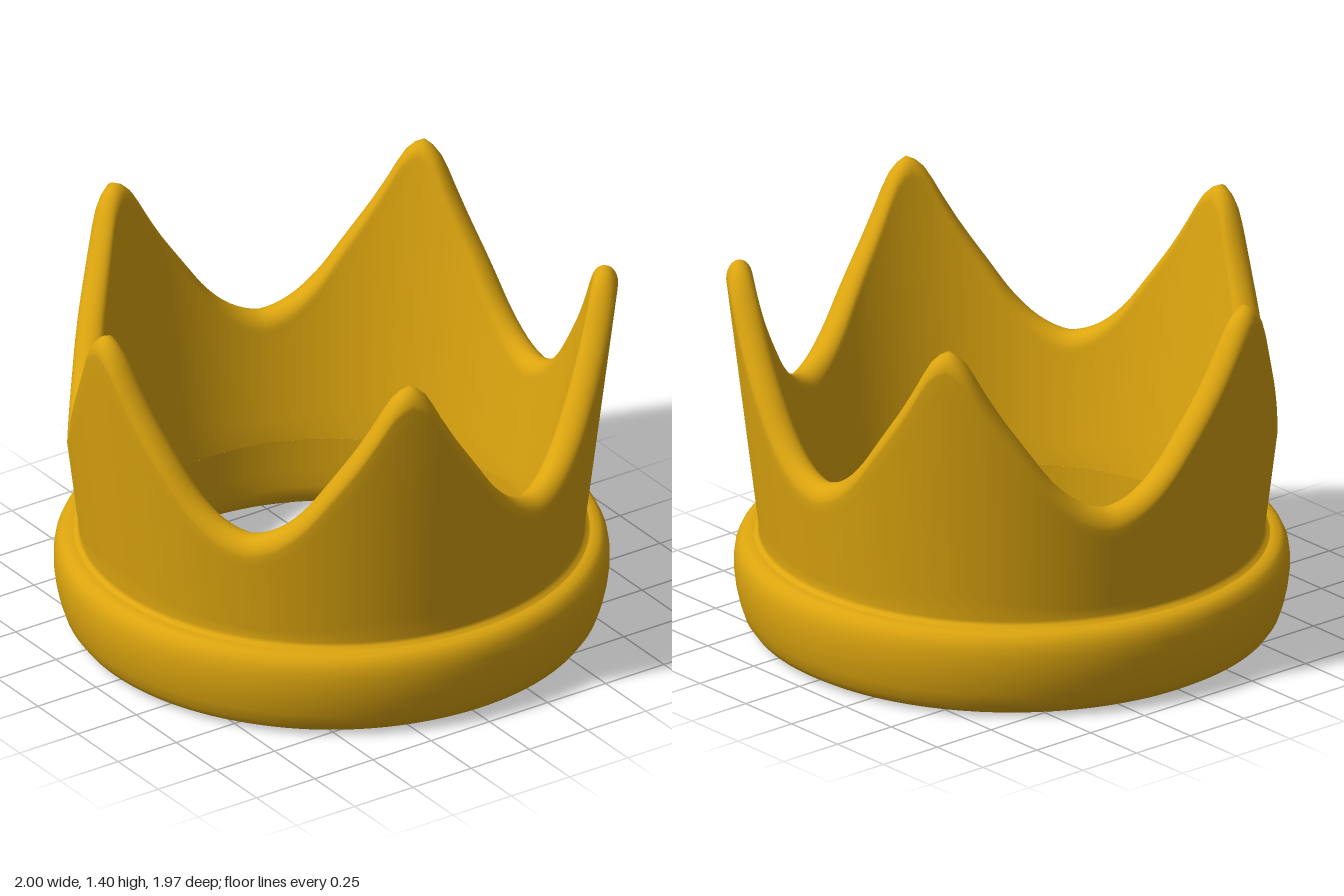
import * as THREE from 'three';

const POINTS = 5;
const INNER = 0.757;
const CENTRE_X = 0.012;

// Rim height from a tip (t = 0) to the middle of a dip (t = 1), in equal steps
const rimCurve = new THREE.SplineCurve(
  [1.4, 1.355, 1.25, 1.15, 1.063, 0.98, 0.9, 0.838, 0.793, 0.765, 0.752]
    .map((y, i) => new THREE.Vector2(i / 10, y))
);

function rimHeight(angle) {
  const turn = (((angle - Math.PI) / (Math.PI * 2)) * POINTS) % 1;
  const phase = (turn + 1) % 1;
  return rimCurve.getPoint(Math.min(phase, 1 - phase) * 2).y;
}

// The wall leans outward and gets thinner towards the tips
const outerRadius = (y) => 0.893 + 0.122 * (y - 0.34);
const innerRadius = (y) => INNER + 0.158 * Math.max(0, y - 0.3);

// Cross-section of the wall at one angle: up the inside, over the rim, down the outside
function wallSection(angle) {
  const top = rimHeight(angle);
  const drop = 0.07;
  const y0 = top - drop;
  const section = [];
  const steps = 10;
  for (let i = 0; i < steps; i++) {
    const y = 0.28 + ((y0 - 0.28) * i) / steps;
    section.push([innerRadius(y), y]);
  }
  const rIn = innerRadius(y0), rOut = outerRadius(y0);
  for (let i = 0; i <= 12; i++) {
    const a = Math.PI * (1 - i / 12);
    section.push([(rIn + rOut) / 2 + ((rOut - rIn) / 2) * Math.cos(a), y0 + drop * Math.sin(a)]);
  }
  for (let i = 1; i <= steps; i++) {
    const y = y0 + ((0.35 - y0) * i) / steps;
    section.push([outerRadius(y), y]);
  }
  // small flare into the band
  section.push([0.9, 0.338], [0.915, 0.328]);
  return section;
}

// Sweep the changing section around the crown
function wallGeometry() {
  const segments = 200;
  const positions = [], indices = [];
  let count = 0;
  for (let i = 0; i < segments; i++) {
    const angle = (i / segments) * Math.PI * 2;
    const section = wallSection(angle);
    count = section.length;
    for (const [r, y] of section) positions.push(r * Math.cos(angle), y, r * Math.sin(angle));
  }
  for (let i = 0; i < segments; i++) {
    for (let j = 0; j < count - 1; j++) {
      const a = i * count + j;
      const b = ((i + 1) % segments) * count + j;
      indices.push(a, b, a + 1, b, b + 1, a + 1);
    }
  }
  const geometry = new THREE.BufferGeometry();
  geometry.setAttribute('position', new THREE.Float32BufferAttribute(positions, 3));
  geometry.setIndex(indices);
  geometry.computeVertexNormals();
  return geometry;
}

// Rounded base band: down the inside, under, and up the bulging outside
function bandGeometry() {
  const profile = [
    [INNER, 0.28], [INNER, 0.16], [INNER, 0.09], [0.764, 0.05], [0.78, 0.022], [0.805, 0.006],
    [0.83, 0], [0.87, 0], [0.902, 0.006], [0.93, 0.022], [0.95, 0.05], [0.965, 0.095],
    [0.977, 0.15], [0.983, 0.2], [0.983, 0.245], [0.978, 0.28], [0.966, 0.307],
    [0.948, 0.323], [0.925, 0.329], [0.9, 0.33], [0.87, 0.33],
  ];
  return new THREE.LatheGeometry(profile.map(([r, y]) => new THREE.Vector2(r, y)), 128);
}

export function createModel() {
  const gold = new THREE.MeshStandardMaterial({ color: 0xdca50f });
  gold.name = 'gold';

  const crown = new THREE.Group();
  crown.name = 'crown';
  const parts = { pointedWall: wallGeometry(), baseBand: bandGeometry() };
  for (const [name, geometry] of Object.entries(parts)) {
    const mesh = new THREE.Mesh(geometry, gold);
    mesh.name = name;
    mesh.position.x = CENTRE_X;
    crown.add(mesh);
  }
  return crown;
}
